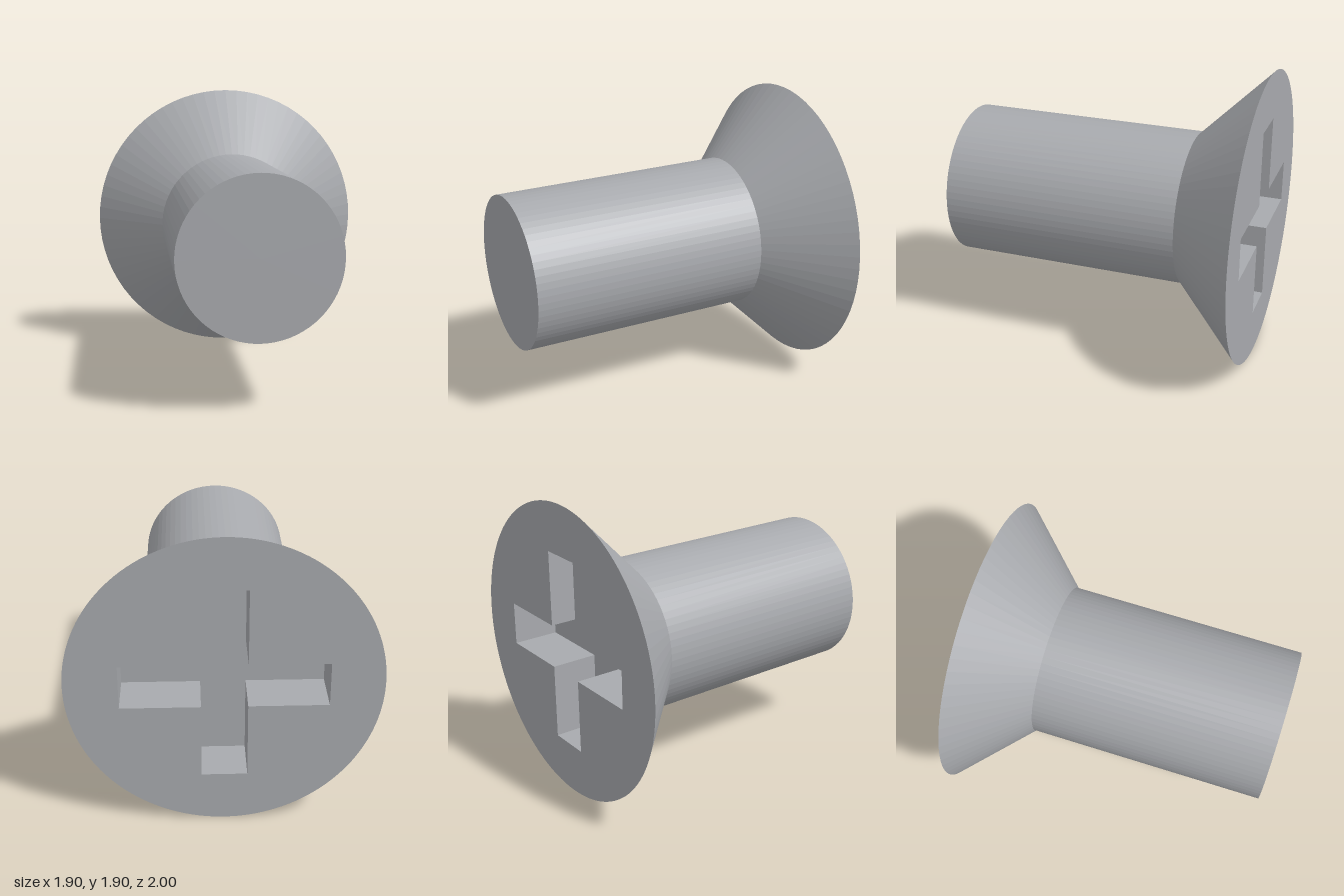
import * as THREE from 'three';

const SIDES = 72;
const CENTRE_Y = 0.95;
const HEAD_R = 0.95, SHANK_R = 0.5;
const BACK_Z = -1, NECK_Z = -0.55, FRONT_Z = 1;
const ARM = 0.625, HALF_W = 0.14, SLOT_DEPTH = 0.3;

// Outline of the cross recess, counter-clockwise
function crossPoints() {
  const points = [];
  for (let i = 0; i < 4; i++) {
    for (const [x, y] of [[ARM, -HALF_W], [ARM, HALF_W], [HALF_W, HALF_W]]) {
      points.push(new THREE.Vector2(x, y).rotateAround(new THREE.Vector2(), i * Math.PI / 2));
    }
  }
  return points;
}

// Inward-facing walls between the head face and the recess floor
function recessWalls(points, z0, z1) {
  const pos = [];
  points.forEach((a, i) => {
    const b = points[(i + 1) % points.length];
    pos.push(a.x, a.y, z0, a.x, a.y, z1, b.x, b.y, z1);
    pos.push(a.x, a.y, z0, b.x, b.y, z1, b.x, b.y, z0);
  });
  const geometry = new THREE.BufferGeometry();
  geometry.setAttribute('position', new THREE.Float32BufferAttribute(pos, 3));
  geometry.computeVertexNormals();
  return geometry;
}

// Flat shape turned to face the back
function backFacing(shape, z) {
  return new THREE.ShapeGeometry(shape, SIDES).rotateY(Math.PI).translate(0, 0, z);
}

export function createModel() {
  const model = new THREE.Group();
  model.name = 'countersunkScrew';
  const steel = new THREE.MeshStandardMaterial({ color: 0xa8aaae });
  steel.name = 'steel grey';
  steel.flatShading = true;

  const add = (name, geometry) => {
    const mesh = new THREE.Mesh(geometry, steel);
    mesh.name = name;
    mesh.position.y = CENTRE_Y;
    model.add(mesh);
  };
  const turned = (profile) => new THREE.LatheGeometry(
    profile.map(([r, z]) => new THREE.Vector2(r, z)), SIDES).rotateX(Math.PI / 2);

  // Conical head and plain shank with a flat end
  add('headCone', turned([[HEAD_R, BACK_Z], [SHANK_R, NECK_Z]]));
  add('shank', turned([[SHANK_R, NECK_Z], [SHANK_R, FRONT_Z], [0, FRONT_Z]]));

  // Flat head face, pierced by the cross
  const cross = crossPoints();
  const face = new THREE.Shape().absarc(0, 0, HEAD_R, 0, Math.PI * 2);
  face.holes.push(new THREE.Path(cross));
  add('headFace', backFacing(face, BACK_Z));

  // Cross recess
  add('recessWalls', recessWalls(cross, BACK_Z, BACK_Z + SLOT_DEPTH));
  add('recessFloor', backFacing(new THREE.Shape(cross), BACK_Z + SLOT_DEPTH));

  return model;
}
